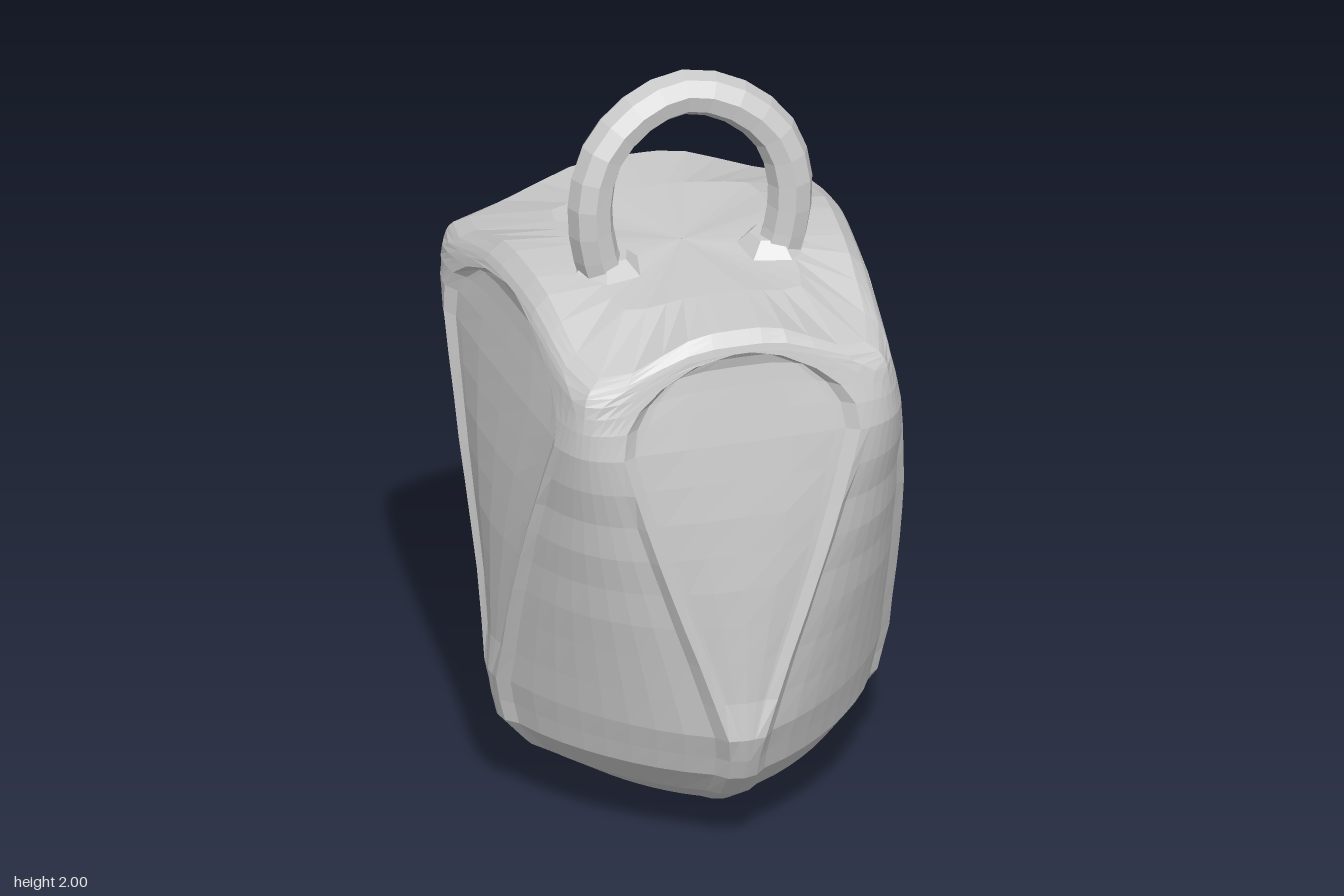
import * as THREE from 'three';

const grey = new THREE.MeshStandardMaterial({ color: 0xcccccc, flatShading: true });

// Linear lookup in a short list of [y, value] pairs
function lookup(pairs, y) {
  if (y <= pairs[0][0]) return pairs[0][1];
  for (let i = 1; i < pairs.length; i++) {
    const [y0, v0] = pairs[i - 1], [y1, v1] = pairs[i];
    if (y <= y1) return v0 + (v1 - v0) * (y - y0) / (y1 - y0);
  }
  return pairs[pairs.length - 1][1];
}

// Half width, half depth and squareness of the body by height (diamond below, square above)
const halfX = [[0, 0.001], [0.03, 0.12], [0.1, 0.31], [0.17, 0.43], [0.25, 0.5], [0.38, 0.53], [0.6, 0.54],
  [0.8, 0.54], [1, 0.525], [1.2, 0.5], [1.35, 0.475], [1.42, 0.465], [1.46, 0.45], [1.5, 0.41], [1.507, 0.26], [1.51, 0.001]];
const halfZ = [[0, 0.001], [0.03, 0.14], [0.1, 0.33], [0.17, 0.44], [0.25, 0.51], [0.38, 0.56], [0.6, 0.56],
  [0.8, 0.56], [1, 0.55], [1.2, 0.53], [1.35, 0.52], [1.46, 0.515], [1.5, 0.49], [1.507, 0.3], [1.51, 0.001]];
const squareness = [[0.1, 1.4], [0.4, 1.45], [0.6, 1.75], [0.8, 2.3], [1, 3.4], [1.15, 5.2], [1.3, 9], [1.4, 12]];
// Half width of the teardrop panel, and depths of the teardrop and corner panels
const tearWidth = [[0.35, 0.012], [0.6, 0.1], [0.8, 0.18], [1, 0.255], [1.2, 0.32], [1.28, 0.31],
  [1.35, 0.27], [1.4, 0.2], [1.43, 0.1], [1.445, 0.012]];
const tearDepth = [[0.33, 0], [0.5, 0.02], [1.42, 0.025], [1.44, 0]];
const cornerDepth = [[0, 0], [0.1, 0.015], [0.3, 0.02], [0.8, 0.02], [1, 0.015], [1.15, 0]];
const shiftZ = [[0.6, 0], [1.2, -0.02], [1.45, -0.05]];
const taper = [[0.6, 0], [1.3, 0.1]];
// How far the corners droop near the top
const droop = [[1.25, 0], [1.5, 0.1], [1.507, 0.02], [1.51, 0]];

const rows = [0, 0.03, 0.1, 0.17, 0.25, 0.31, 0.38, 0.48, 0.6, 0.7, 0.8, 0.9, 1, 1.1, 1.2, 1.28,
  1.35, 1.4, 1.43, 1.445, 1.465, 1.485, 1.5, 1.507, 1.51];

// One closed cross-section: four sides, each with a sunken panel between raised rims
function section(y) {
  const ax = lookup(halfX, y), az = lookup(halfZ, y), n = lookup(squareness, y);
  const ring = [];
  for (let side = 0; side < 4; side++) {
    const lateral = side % 2 ? az : ax;
    const fit = Math.min(1, lateral / 0.4);
    const w = lookup(tearWidth, y) * (side % 2 ? 1.15 : 1) * fit, rim = 0.06 * fit;
    const td = lookup(tearDepth, y), cd = lookup(cornerDepth, y);
    const half = [[0, td], [w * 0.5, td], [w * 0.9, td], [w, td * 0.9], [w + rim * 0.45, 0], [w + rim, cd]]
      .map(([u, d]) => [Math.atan(u / lateral), d]);
    const last = half[half.length - 1][0];
    for (let k = 1; k <= 4; k++) half.push([last + (Math.PI / 4 - last) * k / 4, cd]);
    const mirrored = half.slice(1, -1).reverse().map(([a, d]) => [-a, d]);
    for (const [a, d] of [...mirrored, ...half]) {
      const t = a + side * Math.PI / 2, s = Math.sin(t), c = Math.cos(t);
      const r = Math.pow(Math.abs(s) ** n + Math.abs(c) ** n, -1 / n) * (1 - d / 0.52);
      const z = c * r * az;
      ring.push([
        s * r * ax * (1 - lookup(taper, y) * z / 0.5),
        y - lookup(droop, y) * Math.sin(2 * t) ** 4,
        z + lookup(shiftZ, y),
      ]);
    }
  }
  return ring;
}

function bodyGeometry() {
  const rings = rows.map(section), count = rings[0].length, index = [];
  for (let j = 0; j < rings.length - 1; j++) {
    for (let i = 0; i < count; i++) {
      const a = j * count + i, b = j * count + (i + 1) % count;
      index.push(a, b, b + count, a, b + count, a + count);
    }
  }
  const geometry = new THREE.BufferGeometry();
  geometry.setAttribute('position', new THREE.Float32BufferAttribute(rings.flat(2), 3));
  geometry.setIndex(index);
  geometry.computeVertexNormals();
  return geometry;
}

export function createModel() {
  const model = new THREE.Group();
  const add = (name, geometry) => {
    const mesh = new THREE.Mesh(geometry, grey);
    mesh.name = name;
    model.add(mesh);
    return mesh;
  };

  add('body', bodyGeometry());

  // Arched handle leaning back at the top
  const arm = [[0.23, 1.48, 0.03], [0.252, 1.56, 0.03], [0.264, 1.68, 0.028], [0.23, 1.81, 0.012], [0.13, 1.906, -0.012]];
  const path = [...arm.map(([x, y, z]) => [-x, y, z]), [0, 1.942, -0.03], ...arm.slice().reverse()]
    .map((p) => new THREE.Vector3(...p));
  add('handle', new THREE.TubeGeometry(new THREE.CatmullRomCurve3(path), 18, 0.059, 8));

  // Small flared feet where the handle meets the top
  for (const side of [-1, 1]) {
    const foot = add(side > 0 ? 'leftHandleFoot' : 'rightHandleFoot', new THREE.CylinderGeometry(0.055, 0.1, 0.04, 6));
    foot.position.set(side * 0.215, 1.515, 0.02);
    foot.rotation.y = side * 0.3;
  }
  return model;
}
